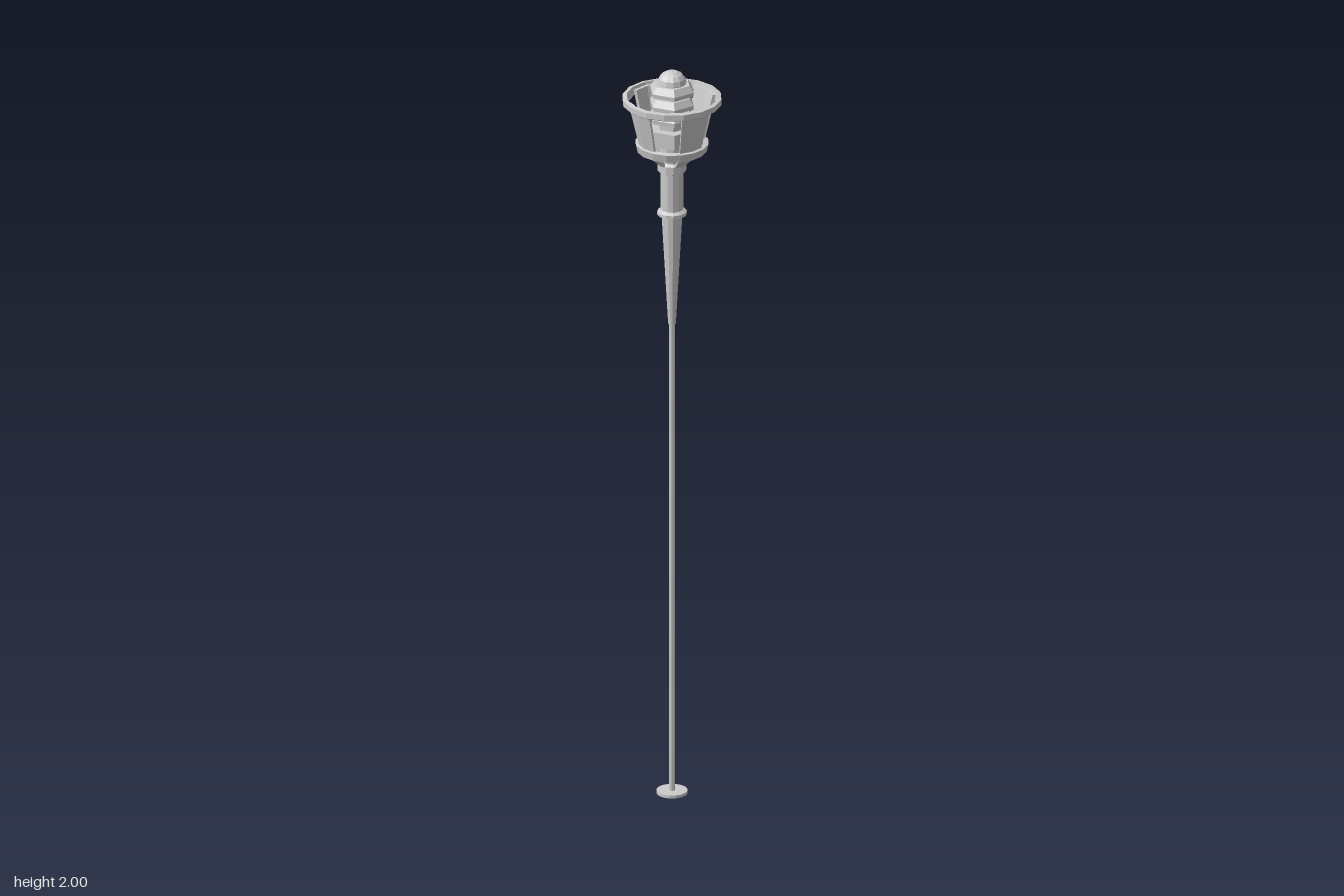
import * as THREE from 'three';

const material = new THREE.MeshStandardMaterial({ color: 0xcccccc, flatShading: true, side: THREE.DoubleSide });

export function createModel() {
  const model = new THREE.Group();

  const add = (name, geometry, parent = model) => {
    const mesh = new THREE.Mesh(geometry, material);
    mesh.name = name;
    parent.add(mesh);
    return mesh;
  };

  // Turned part from [radius, height] pairs, outer side listed upwards
  const turned = (name, pairs, sides, start = 0) =>
    add(name, new THREE.LatheGeometry(pairs.map(p => new THREE.Vector2(...p)), sides, start, Math.PI * 2));

  // Foot and post
  turned('footPlate', [[0, 0], [0.04, 0], [0.04, 0.008], [0, 0.008]], 16);
  turned('pole', [[0.008, 0.008], [0.008, 1.31]], 8);
  turned('taperedSleeve', [[0, 1.3], [0.01, 1.3], [0.027, 1.605]], 12);
  turned('sleeveRing', [[0.027, 1.6], [0.038, 1.603], [0.038, 1.612], [0.029, 1.618]], 12);
  turned('neck', [[0.029, 1.61], [0.029, 1.73]], 12);
  turned('collar', [[0.029, 1.722], [0.037, 1.726], [0.037, 1.746], [0.03, 1.752], [0, 1.752]], 12);
  turned('burnerNeck', [[0.028, 1.75], [0.032, 1.78], [0.032, 1.81]], 12);

  // Sixteen-sided hoops of the basket
  turned('lowerHoop', [[0.08, 1.782], [0.09, 1.782], [0.095, 1.803], [0.083, 1.806], [0.08, 1.782]], 16);
  turned('upperHoop', [[0.112, 1.909], [0.122, 1.909], [0.128, 1.913], [0.128, 1.928],
    [0.117, 1.93], [0.112, 1.909]], 16);

  // Four bent panels: sloping brace below, flared wall above
  const profile = [[0.034, 1.742], [0.079, 1.782], [0.088, 1.806], [0.115, 1.922],
    [0.107, 1.922], [0.079, 1.804], [0.072, 1.788], [0.034, 1.752], [0.034, 1.742]]
    .map(p => new THREE.Vector2(...p));
  const half = Math.PI / 8;
  for (let i = 0; i < 4; i++) {
    const panel = new THREE.Group();
    panel.name = 'basketPanel';
    panel.rotation.y = i * Math.PI / 2;
    add('panelWall', new THREE.LatheGeometry(profile, 2, -half, half * 2), panel);
    for (const side of [-1, 1]) {
      const edge = new THREE.ShapeGeometry(new THREE.Shape(profile));
      edge.rotateY(side * half - Math.PI / 2);
      add('panelEdge', edge, panel);
    }
    model.add(panel);
  }

  // Hexagonal burner with stacked sloping louvres
  const hex = Math.PI / 6;
  turned('burnerBase', [[0, 1.805], [0.063, 1.805], [0.063, 1.845], [0.038, 1.845]], 6, hex);
  turned('burnerCore', [[0.038, 1.84], [0.038, 1.955]], 6, hex);
  for (const y of [1.866, 1.902, 1.938]) {
    turned('louvre', [[0.036, y], [0.06, y], [0.061, y + 0.011], [0.049, y + 0.028], [0.036, y + 0.028]], 6, hex);
  }

  // Rounded cap
  const dome = [[0.037, 1.95]];
  for (let i = 0; i <= 4; i++) {
    const a = i * Math.PI / 8;
    dome.push([0.037 * Math.cos(a), 1.968 + 0.032 * Math.sin(a)]);
  }
  turned('domeCap', dome, 12);

  return model;
}
